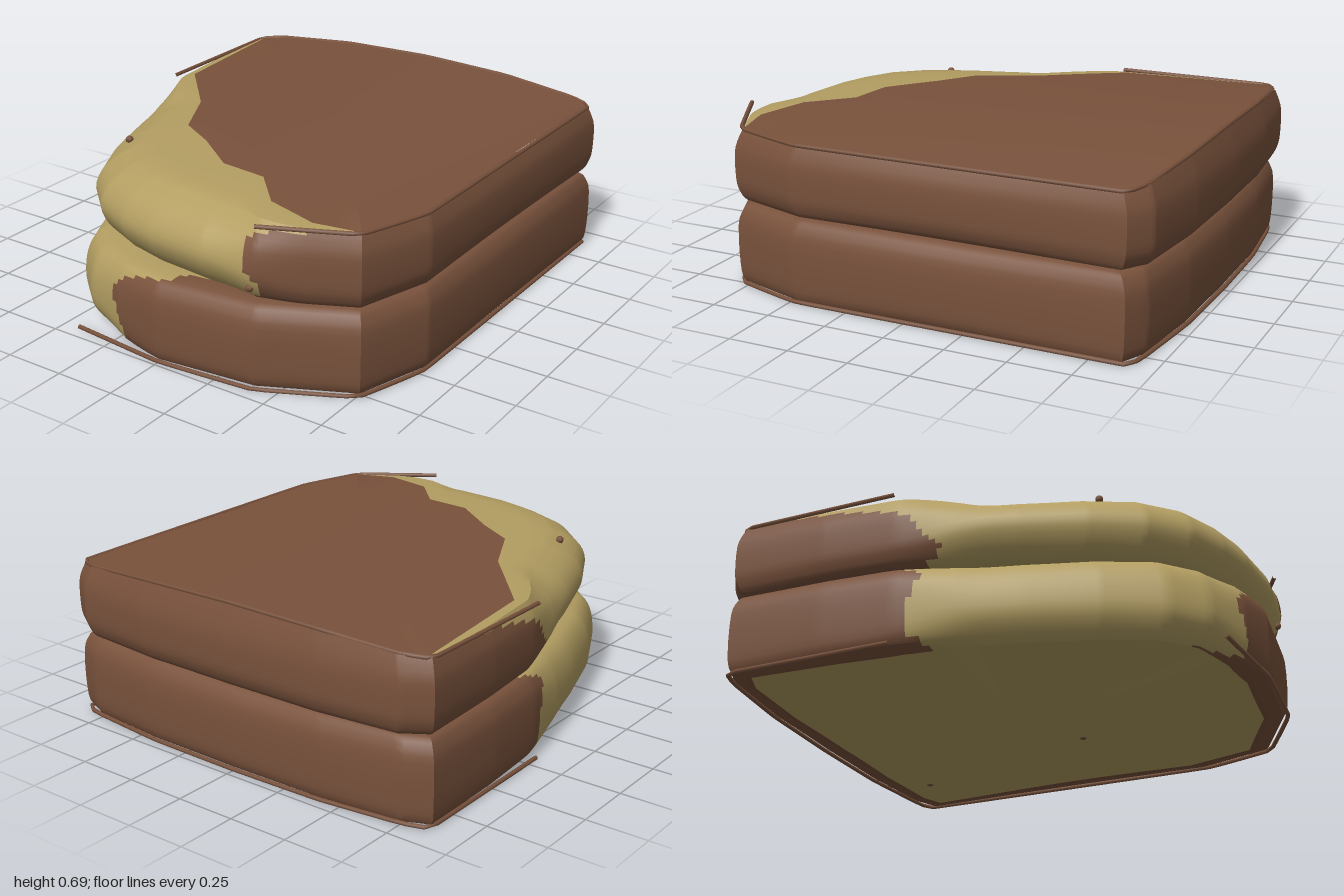
import * as THREE from 'three';
import { toCreasedNormals } from 'three/addons/utils/BufferGeometryUtils.js';

const leather = new THREE.MeshStandardMaterial({ color: 0x79523c });
leather.name = 'brown leather';
const foam = new THREE.MeshStandardMaterial({ color: 0xb39e62 });
foam.name = 'yellow foam';

// Rays run from this point to the outlines
const CX = 0.1, CZ = -0.1;
const rad = THREE.MathUtils.degToRad;
const lerp = THREE.MathUtils.lerp;

// Distance from the ray centre to a polygon in direction a
function rayHit(poly, a) {
  const dx = Math.cos(a), dz = Math.sin(a);
  let best = 0;
  poly.forEach(([x0, z0], i) => {
    const [x1, z1] = poly[(i + 1) % poly.length];
    const ex = x1 - x0, ez = z1 - z0, px = x0 - CX, pz = z0 - CZ;
    const det = dx * ez - dz * ex;
    if (Math.abs(det) < 1e-9) return;
    const t = (px * ez - pz * ex) / det, s = (px * dz - pz * dx) / det;
    if (t > 0 && s >= -1e-6 && s <= 1 + 1e-6) best = Math.max(best, t);
  });
  return best;
}

// Ray angles: an even fan plus every corner of the given polygons
function rayAngles(...polys) {
  const list = [];
  for (let d = 0; d < 360; d += 1.5) list.push(rad(d));
  for (const [x, z] of polys.flat()) {
    list.push((Math.atan2(z - CZ, x - CX) + Math.PI * 2) % (Math.PI * 2));
  }
  list.sort((p, q) => p - q);
  return list.filter((a, i) => i === 0 || a - list[i - 1] > 0.002);
}

// Smoothly subdivide a list of number pairs
function refine(pairs) {
  const curve = new THREE.SplineCurve(pairs.map(([a, b]) => new THREE.Vector2(a, b)));
  return curve.getPoints((pairs.length - 1) * 3).map((p) => [p.x, p.y]);
}

// Gentle crown of the seat top
const crown = (x, z) => 0.041 * Math.max(0, 1 - x * x / 0.75) * (0.75 - 0.25 * z);

// One cushion: rings stacked from bottom centre, up the side, to top centre.
// Profiles are [inset, y]; tear gives the foam's angle range at each profile level.
function cushion(name, { outline, torn, sound, worn, tear, topY, domed, foamBase }) {
  const angles = rayAngles(outline, torn);
  const soundFine = refine(sound), wornFine = refine(worn), tearFine = refine(tear);
  const sideEnd = soundFine.length;
  const pos = [], cells = [[], []], gaps = [];
  const n = angles.length;
  const from = tear[3][0], to = tear[3][1];
  let rows = 0;
  angles.forEach((a) => {
    const deg = a * 180 / Math.PI;
    const R = rayHit(outline, a);
    const w = THREE.MathUtils.smoothstep(deg, from - 12, from + 10)
      * (1 - THREE.MathUtils.smoothstep(deg, to - 18, to + 10));
    const side = soundFine.map(([inset, y], k) =>
      [R - lerp(inset, wornFine[k][0], w), lerp(y, wornFine[k][1], w)]);
    const [rimR, rimY] = side[sideEnd - 1];
    const edge = Math.min(rimR, rayHit(torn, a));
    gaps.push(rimR - edge);
    const lift = (r) => domed ? crown(CX + Math.cos(a) * r, CZ + Math.sin(a) * r) : 0;
    const ring = [[0, side[0][1]], ...side.map(([r, y], k) =>
      [r, y + lift(r) * Math.max(0, 1 - (sideEnd - 1 - k) / 6)])];
    for (const t of [0.33, 0.66, 1]) {
      const r = lerp(rimR, edge, t);
      ring.push([r, lerp(rimY, topY, Math.sqrt(t)) + lift(r)]);
    }
    for (const t of [0.75, 0.5, 0.25, 0]) ring.push([edge * t, topY + lift(edge * t)]);
    rows = ring.length;
    for (const [r, y] of ring) pos.push(CX + Math.cos(a) * r, y, CZ + Math.sin(a) * r);
  });

  for (let i = 0; i < n; i++) {
    const i2 = (i + 1) % n;
    const mid = ((angles[i] + (i2 ? angles[i2] : Math.PI * 2)) / 2) * 180 / Math.PI;
    for (let j = 0; j < rows - 1; j++) {
      let isFoam = false;
      if (j === 0) isFoam = foamBase;
      else if (j < sideEnd) {
        const lo = (tearFine[j - 1][0] + tearFine[j][0]) / 2;
        const hi = (tearFine[j - 1][1] + tearFine[j][1]) / 2;
        isFoam = mid > lo && mid < hi;
      } else if (j < sideEnd + 3) {
        if (gaps[i] + gaps[i2] < 0.002) continue;
        isFoam = true;
      }
      const p = i * rows + j, q = i2 * rows + j;
      const out = cells[isFoam ? 1 : 0];
      out.push(p, p + 1, q + 1);
      if (j > 0) out.push(p, q + 1, q);
    }
  }
  const geo = new THREE.BufferGeometry();
  geo.setAttribute('position', new THREE.Float32BufferAttribute(pos, 3));
  geo.setIndex([...cells[0], ...cells[1]]);
  geo.addGroup(0, cells[0].length, 0);
  geo.addGroup(cells[0].length, cells[1].length, 1);
  const mesh = new THREE.Mesh(toCreasedNormals(geo, 0.5), [leather, foam]);
  mesh.name = name;
  return mesh;
}

// Round piping cord through the given points
function piping(name, points) {
  const curve = new THREE.CatmullRomCurve3(points.map((p) => new THREE.Vector3(...p)), false, 'catmullrom', 0.05);
  const mesh = new THREE.Mesh(new THREE.TubeGeometry(curve, 90, 0.009, 6), leather);
  mesh.name = name;
  return mesh;
}

export function createModel() {
  const group = new THREE.Group();
  group.name = 'tornCushions';

  // Straight right and back edges shared by both cushions
  const back = (z) => [[-0.87, -0.89], [-0.77, z + 0.045], [-0.42, z + 0.008], [0, z], [0.42, z + 0.008],
    [0.77, z + 0.045], [0.87, -0.89], [0.87, 0.47], [0.77, 0.78]];

  // Leather area left on the top; the rest is bare foam
  const torn = [[-0.83, -0.87], [-0.77, -0.25], [-0.5, 0.05], [-0.37, 0.3], [-0.2, 0.4], [0, 0.55],
    [0.2, 0.57], [0.35, 0.73], [0.57, 0.79], [0.74, 0.75], [1.4, 0.9], [1.4, -1.4], [-1.4, -1.4]];

  group.add(cushion('upperCushion', {
    outline: [...back(-1), [0.42, 0.95], [0.2, 0.965], [-0.06, 0.94], [-0.22, 0.9], [-0.38, 0.83], [-0.52, 0.7],
      [-0.625, 0.5], [-0.715, 0.25], [-0.785, 0.02], [-0.835, -0.2], [-0.86, -0.5]],
    torn, topY: 0.638, domed: true, foamBase: false,
    sound: [[0.1, 0.345], [0.04, 0.352], [0.012, 0.39], [0, 0.44], [0, 0.55], [0.018, 0.605], [0.035, 0.635]],
    worn: [[0.14, 0.347], [0.075, 0.365], [0.025, 0.42], [0, 0.49], [0.025, 0.56], [0.085, 0.603], [0.16, 0.628]],
    tear: [[76, 182], [74, 180], [71, 176], [74, 179], [75, 185], [73, 197], [54, 212]],
  }));

  group.add(cushion('lowerCushion', {
    outline: [...back(-0.98), [0.42, 0.95], [0, 0.995], [-0.2, 0.96], [-0.4, 0.885], [-0.53, 0.77],
      [-0.64, 0.55], [-0.73, 0.28], [-0.8, 0.03], [-0.845, -0.2], [-0.865, -0.5]],
    torn, topY: 0.343, domed: false, foamBase: true,
    sound: [[0.1, 0.005], [0.02, 0.015], [0, 0.09], [0, 0.25], [0.02, 0.31], [0.05, 0.338], [0.12, 0.343]],
    worn: [[0.07, 0.005], [0.04, 0.03], [0, 0.1], [0, 0.2], [0.025, 0.28], [0.07, 0.325], [0.15, 0.34]],
    tear: [[120, 178], [106, 180], [105.5, 184], [108, 181], [104, 181], [94, 188], [92, 194]],
  }));

  // Piping along the top rim of the upper cushion, its ends hanging loose
  const rim = [[-0.87, -0.21], ...back(-0.99), [0.435, 0.96]].map(([x, z]) =>
    [x * 0.972, 0.637 + crown(x, z), z * 0.972]);
  group.add(piping('upperPiping', rim));

  // Piping round the base of the lower cushion
  const base = [[-0.87, -0.2], ...back(-0.97), [0.42, 0.95], [0, 0.985], [-0.43, 0.945]].map(([x, z]) =>
    [x * 0.985, 0.01, z]);
  group.add(piping('lowerPiping', base));

  // Small scraps of leather stuck to the foam
  const scraps = [[-0.51, 0.632, 0.5], [0.4, 0.41, 0.935], [0.56, 0.006, -0.75], [0.3, 0.006, 0.1]];
  const scrapShape = new THREE.SphereGeometry(0.016, 8, 6);
  for (const [x, y, z] of scraps) {
    const scrap = new THREE.Mesh(scrapShape, leather);
    scrap.name = 'leatherScrap';
    scrap.scale.y = y < 0.1 ? 0.3 : 1;
    scrap.position.set(x, y, z);
    group.add(scrap);
  }

  return group;
}
